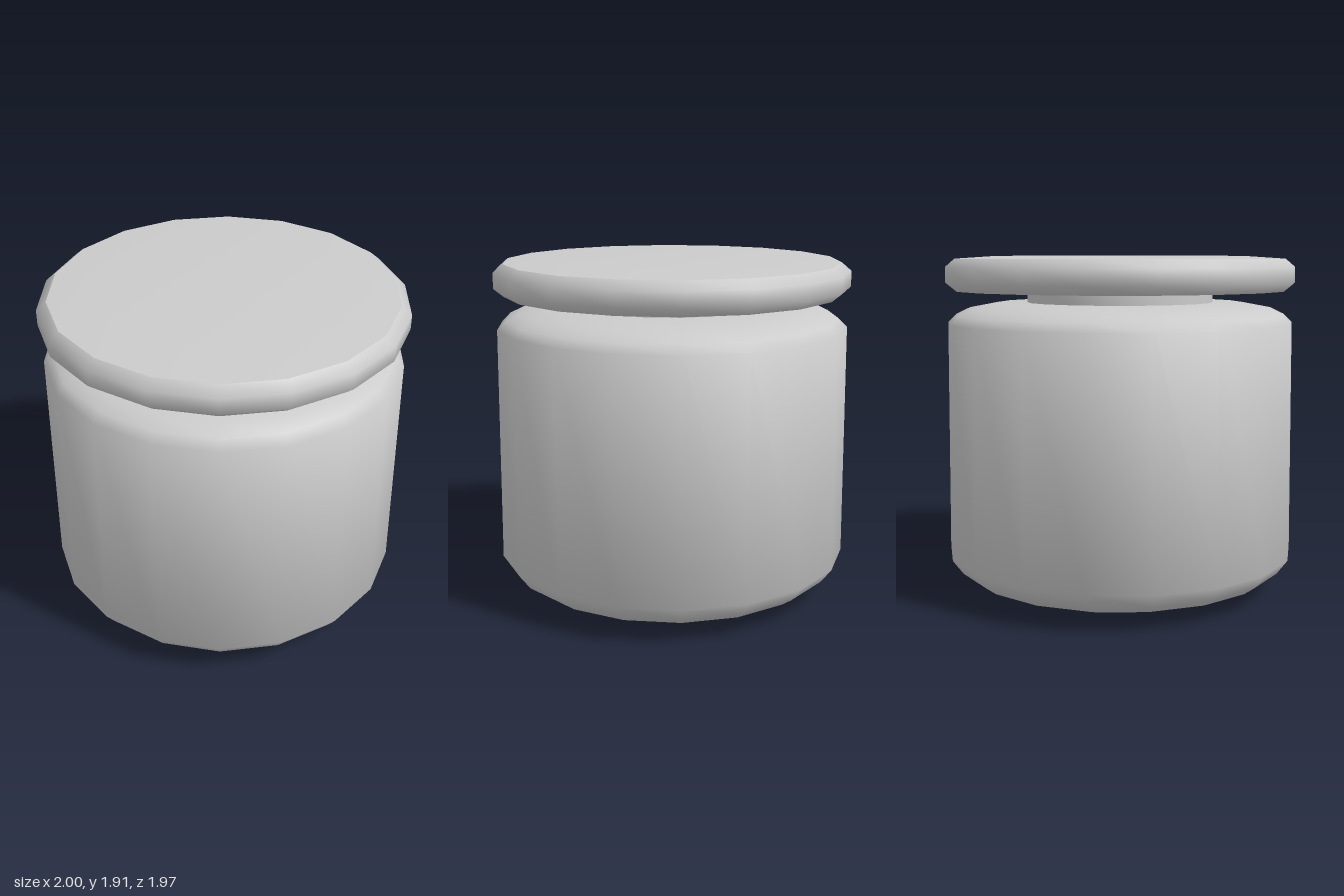
import * as THREE from 'three';
import { toCreasedNormals } from 'three/addons/utils/BufferGeometryUtils.js';

const SIDES = 18;
const material = new THREE.MeshStandardMaterial({ color: 0xcccccc });

// Turned part from [radius, height] pairs listed bottom to top, with a corner on the x axis
function turned(name, profile, creaseDegrees) {
  const points = profile.map(([r, y]) => new THREE.Vector2(r, y));
  const lathe = new THREE.LatheGeometry(points, SIDES, Math.PI / SIDES, Math.PI * 2);
  const geometry = toCreasedNormals(lathe, THREE.MathUtils.degToRad(creaseDegrees));
  const mesh = new THREE.Mesh(geometry, material);
  mesh.name = name;
  return mesh;
}

export function createModel() {
  const jar = new THREE.Group();
  jar.name = 'jar';

  // Slightly tapered body with rounded base and shoulder
  jar.add(turned('body', [
    [0, 0], [0.23, 0], [0.79, 0.056], [0.88, 0.087], [0.94, 0.13], [1, 0.21],
    [0.987, 1.53], [0.94, 1.577], [0.86, 1.615], [0.7, 1.645], [0, 1.645],
  ], 50));

  // Narrow neck between body and lid
  jar.add(turned('neck', [[0.53, 1.64], [0.53, 1.715]], 50));

  // Flat lid with a bevelled rim and a faintly domed top
  jar.add(turned('lid', [
    [0, 1.712], [0.945, 1.712], [1, 1.757], [1, 1.843],
    [0.945, 1.89], [0.7, 1.906], [0, 1.906],
  ], 34));

  // Smooth the rim's bevels into its band while the flat faces stay sharp
  const lid = jar.getObjectByName('lid');
  const position = lid.geometry.attributes.position;
  const normal = lid.geometry.attributes.normal;
  for (let i = 0; i < position.count; i += 3) {
    const heights = [0, 1, 2].map((k) => position.getY(i + k));
    const onRim = Math.min(...heights) < 1.88 && Math.max(...heights) > 1.72;
    if (!onRim) continue;
    for (let k = i; k < i + 3; k++) {
      const y = position.getY(k);
      const tilt = y > 1.88 ? 0.85 : y > 1.8 ? 0.4 : y > 1.73 ? -0.4 : -0.85;
      const n = new THREE.Vector3(position.getX(k), 0, position.getZ(k)).normalize();
      n.multiplyScalar(Math.cos(tilt)).setY(Math.sin(tilt));
      normal.setXYZ(k, n.x, n.y, n.z);
    }
  }
  return jar;
}
